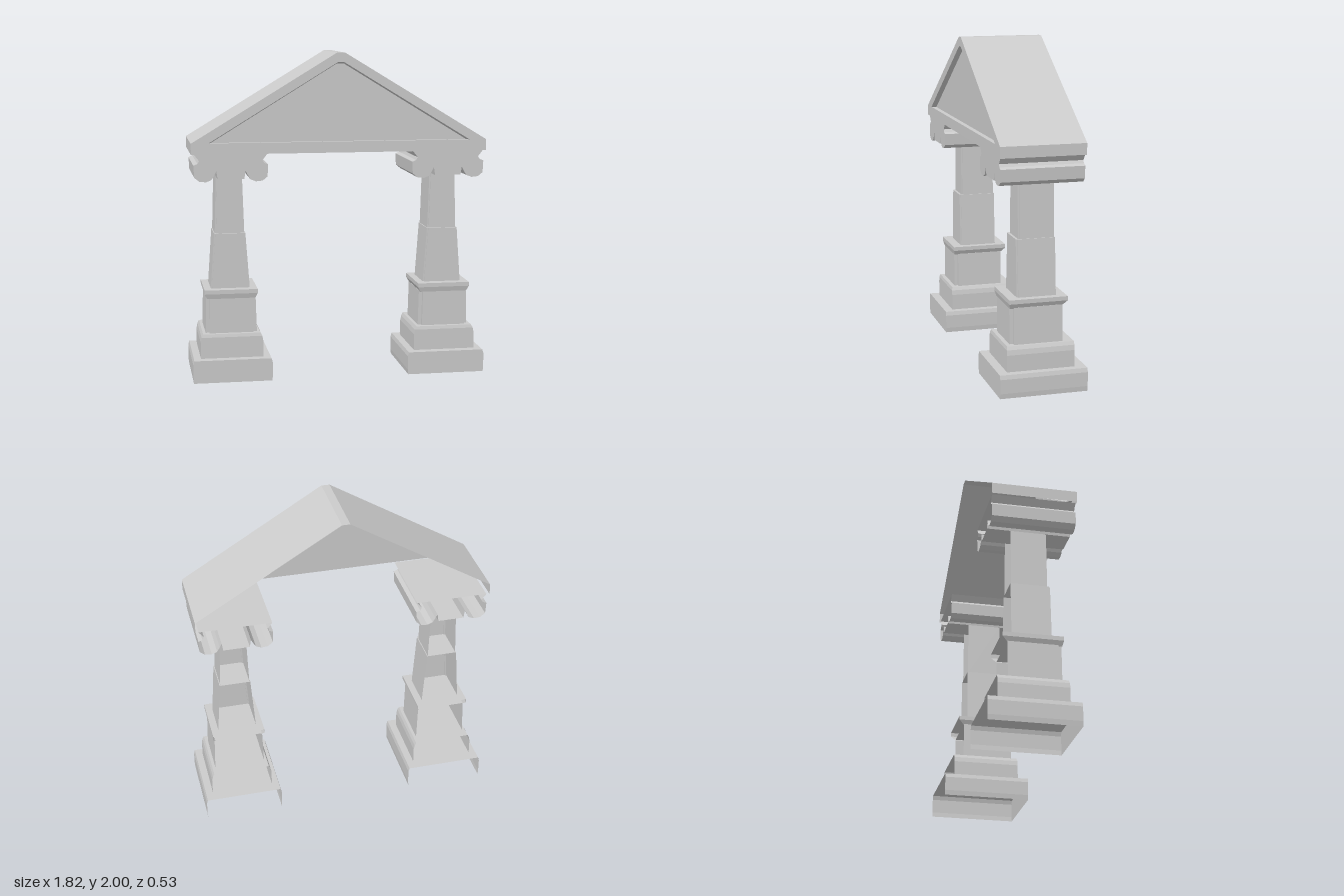
import * as THREE from 'three';
import { mergeGeometries } from 'three/addons/utils/BufferGeometryUtils.js';

const material = new THREE.MeshStandardMaterial({
  color: 0xcccccc, flatShading: true, side: THREE.DoubleSide,
});

// Skin between successive rings of [x, y, z] points; rings may be open
function loft(rings) {
  const pos = [];
  for (let r = 0; r < rings.length - 1; r++) {
    const a = rings[r], b = rings[r + 1];
    for (let i = 0; i < a.length - 1; i++) {
      pos.push(...a[i], ...a[i + 1], ...b[i + 1], ...a[i], ...b[i + 1], ...b[i]);
    }
  }
  const g = new THREE.BufferGeometry();
  g.setAttribute('position', new THREE.Float32BufferAttribute(pos, 3));
  g.computeVertexNormals();
  return g;
}

const shapeOf = (pts) => new THREE.Shape(pts.map(([x, y]) => new THREE.Vector2(x, y)));

// Flat face as bare triangles, so that it merges with a loft
function face(shape, z = 0) {
  const g = new THREE.ShapeGeometry(shape).toNonIndexed();
  g.deleteAttribute('uv');
  return g.translate(0, 0, z);
}

// Walls of an xy outline running from z0 to z1
const walls = (pts, z0, z1) =>
  loft([z0, z1].map((z) => pts.map(([x, y]) => [x, y, z])));

function part(name, ...geometries) {
  const mesh = new THREE.Mesh(mergeGeometries(geometries), material);
  mesh.name = name;
  return mesh;
}

// Column tier, open at the back and below. Rings are [y, halfWidth, zFront, zBack],
// notch cuts a step into both front corners.
function tier(name, rings, notch = 0) {
  const plan = ([, w, f, b]) => notch
    ? [[-w, b], [-w, f - notch], [notch - w, f - notch], [notch - w, f],
      [w - notch, f], [w - notch, f - notch], [w, f - notch], [w, b]]
    : [[-w, b], [-w, f], [w, f], [w, b]];
  const skin = loft(rings.map((r) => plan(r).map(([x, z]) => [x, r[0], z])));
  const last = rings[rings.length - 1];
  const top = face(shapeOf(plan(last).map(([x, z]) => [x, -z])));
  top.rotateX(-Math.PI / 2).translate(0, last[0], 0);
  return part(name, skin, top);
}

// Capital with a scroll on each side, extruded front to back
function capital() {
  const half = [[0.08, 1.25], [0.088, 1.3], [0.1, 1.275], [0.117, 1.247], [0.15, 1.234],
    [0.19, 1.238], [0.22, 1.262], [0.224, 1.335], [0.2, 1.345], [0.19, 1.362], [0.22, 1.4]];
  const outline = [...half, ...half.map(([x, y]) => [-x, y]).reverse()];
  return part('capital',
    walls([...outline, outline[0]], -0.24, 0.258),
    face(shapeOf(outline), 0.258));
}

function column() {
  const g = new THREE.Group();
  g.add(
    tier('plinth', [[0, 0.24, 0.265, -0.265], [0.03, 0.243, 0.265, -0.265],
      [0.115, 0.243, 0.265, -0.265], [0.14, 0.236, 0.265, -0.265]]),
    tier('base', [[0.14, 0.192, 0.21, -0.2], [0.24, 0.192, 0.21, -0.2],
      [0.27, 0.186, 0.21, -0.2], [0.29, 0.176, 0.205, -0.2]]),
    tier('pedestal', [[0.29, 0.158, 0.18, -0.135], [0.51, 0.152, 0.18, -0.135]], 0.022),
    tier('pedestalCornice', [[0.505, 0.148, 0.18, -0.135], [0.535, 0.163, 0.188, -0.165],
      [0.56, 0.163, 0.188, -0.165]]),
    tier('lowerShaft', [[0.56, 0.12, 0.13, -0.105], [0.9, 0.096, 0.13, -0.105]], 0.008),
    tier('upperShaft', [[0.9, 0.091, 0.115, -0.1], [1.25, 0.08, 0.115, -0.1]], 0.008),
    capital(),
  );
  return g;
}

// Gable with a sunken triangular panel, open at the back and below
function pediment() {
  const front = 0.265, back = -0.245, sunk = 0.235;
  const roof = [[0.905, 1.4], [0.905, 1.467], [0.025, 2], [-0.025, 2], [-0.905, 1.467], [-0.905, 1.4]];
  const rim = [[-0.8, 1.467], [0.8, 1.467], [0.02, 1.943], [-0.02, 1.943]];
  const panel = [[-0.785, 1.467], [0.785, 1.467], [0.02, 1.935], [-0.02, 1.935]];
  const frame = shapeOf(roof);
  frame.holes.push(shapeOf(rim));
  const close = (pts, z) => [...pts, pts[0]].map(([x, y]) => [x, y, z]);
  const g = new THREE.Group();
  g.name = 'pediment';
  g.add(
    part('roof', walls(roof, back, front)),
    part('gableFrame', face(frame, front), loft([close(rim, front), close(panel, sunk)])),
    part('gablePanel', face(shapeOf(panel), sunk)),
  );
  return g;
}

export function createModel() {
  const model = new THREE.Group();
  model.name = 'portico';
  for (const [name, side] of [['leftColumn', 1], ['rightColumn', -1]]) {
    const c = column();
    c.name = name;
    c.position.x = 0.667 * side;
    model.add(c);
  }
  model.add(pediment());
  return model;
}
